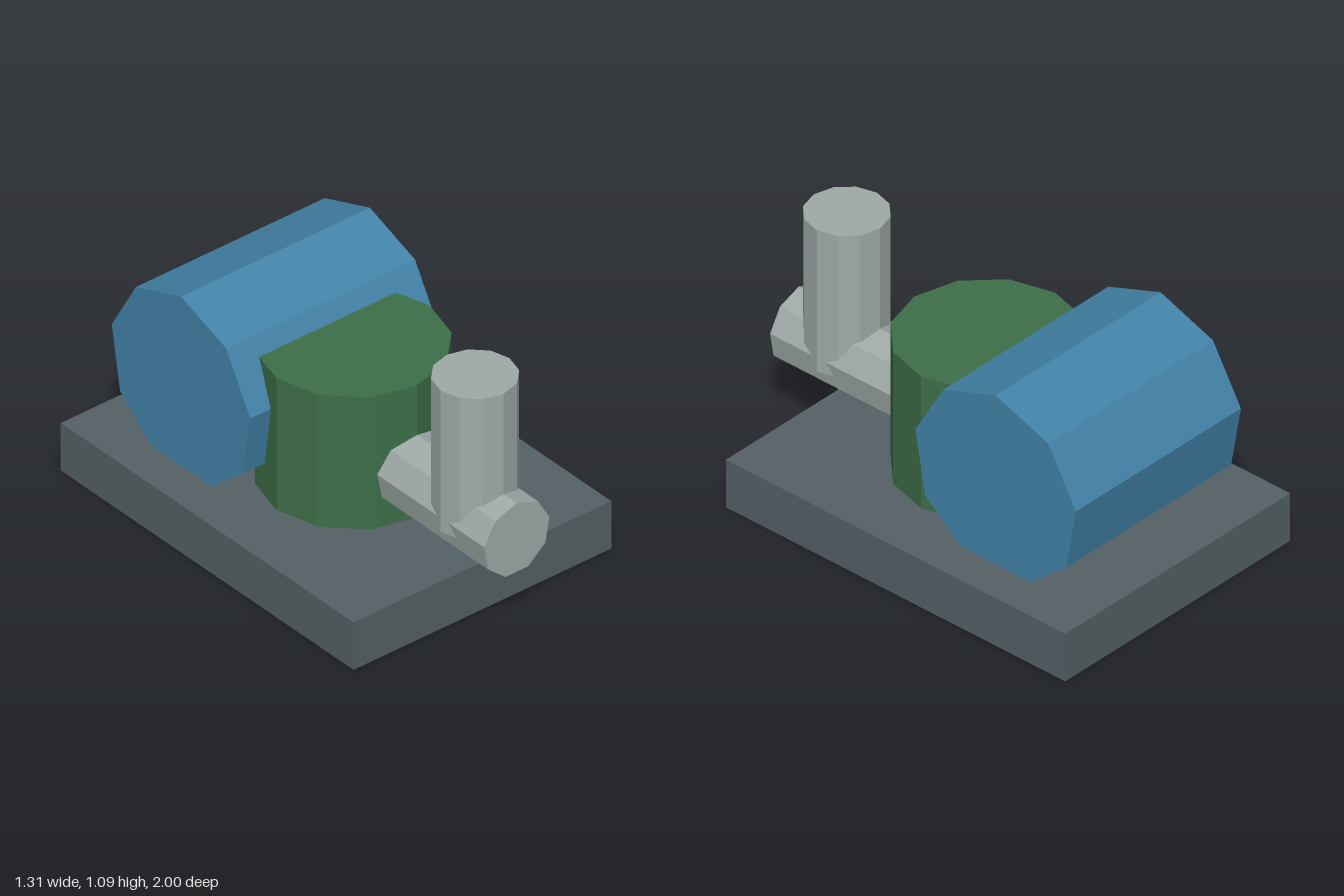
import * as THREE from 'three';

function material(name, color) {
  const m = new THREE.MeshStandardMaterial({ color });
  m.name = name;
  return m;
}

// Faceted, capped cylinder along y; corners start at +z
function faceted(radius, length, sides) {
  return new THREE.CylinderGeometry(radius, radius, length, sides).toNonIndexed();
}

export function createModel() {
  const group = new THREE.Group();
  const slate = material('slate grey', 0x546165);
  const blue = material('steel blue', 0x4283a8);
  const green = material('dark green', 0x3d6e48);
  const grey = material('light grey', 0x9eaaa7);

  const add = (name, geometry, mat, x, y, z) => {
    geometry.computeVertexNormals(); // flat facets on unshared corners
    const mesh = new THREE.Mesh(geometry, mat);
    mesh.name = name;
    mesh.position.set(x, y, z);
    group.add(mesh);
  };

  // Base plate
  add('basePlate', new THREE.BoxGeometry(1.31, 0.225, 1.79), slate, 0, 0.1125, -0.105);

  // Motor drum lying across the back, one corner straight up
  const drum = faceted(0.43, 0.96, 9).rotateX(-Math.PI / 2).rotateY(Math.PI / 2);
  add('motorDrum', drum, blue, 0, 0.595, -0.475);

  // Upright pump housing
  add('pumpHousing', faceted(0.39, 0.63, 12), green, 0, 0.535, 0);

  // Inlet pipe running forward, one corner straight up
  add('inletPipe', faceted(0.168, 0.8, 9).rotateX(-Math.PI / 2), grey, 0, 0.447, 0.6);

  // Outlet pipe standing on the inlet
  add('outletPipe', faceted(0.175, 0.67, 12), grey, 0, 0.755, 0.745);

  return group;
}
